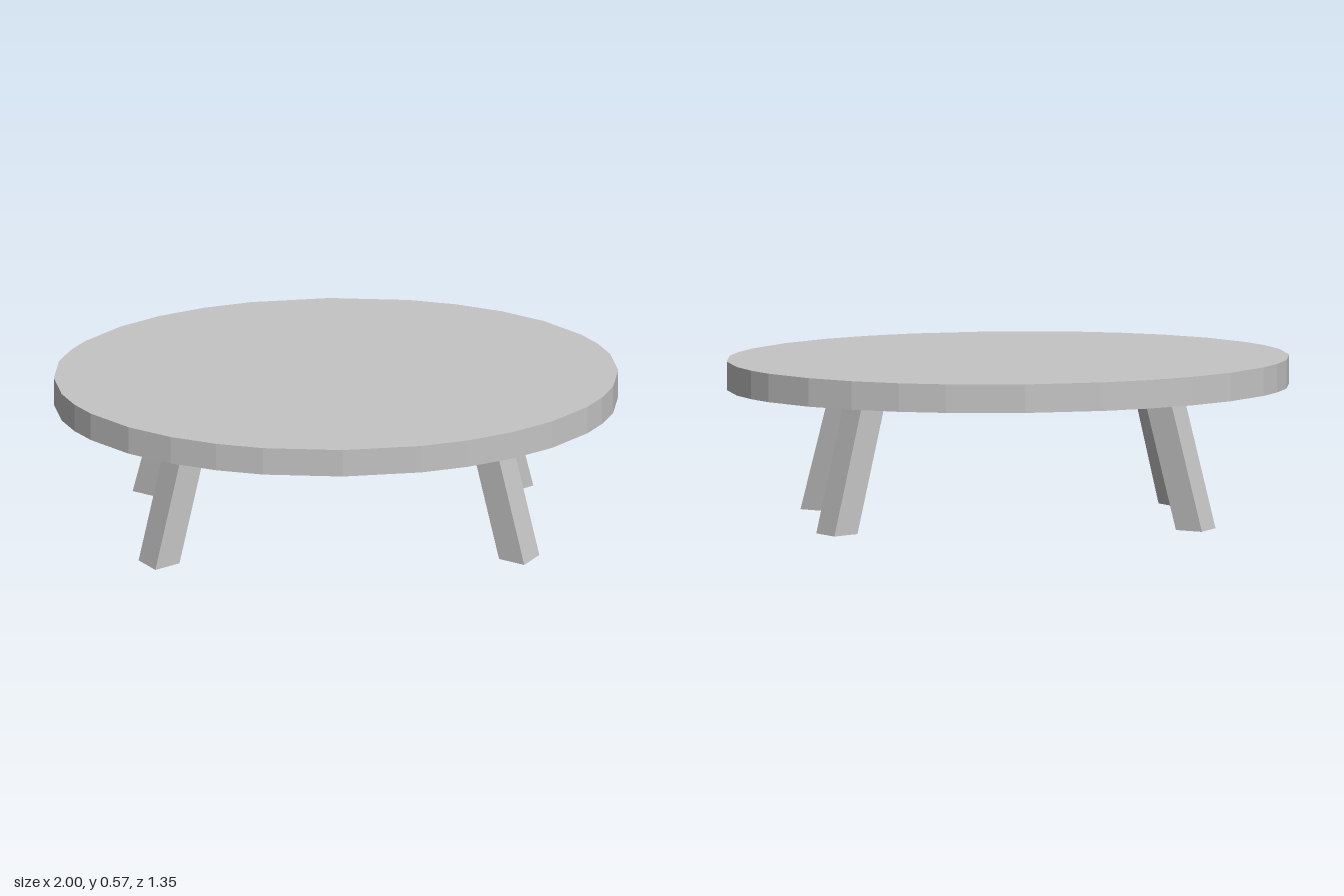
import * as THREE from 'three';

const TOP_Y = 0.575, UNDER_Y = 0.473, HALF_DEPTH = 0.675;

// Oval outline, faceted with unevenly spaced corners
function ovalShape() {
  const quarter = [1, 0.977, 0.935, 0.88, 0.75, 0.605, 0.445, 0.28];
  const z = x => HALF_DEPTH * Math.sqrt(1 - x * x);
  const half = [
    ...quarter.map(x => new THREE.Vector2(x, z(x))),
    new THREE.Vector2(0, HALF_DEPTH),
    ...quarter.slice(1).reverse().map(x => new THREE.Vector2(-x, z(x))),
  ];
  return new THREE.Shape([...half, ...half.map(p => p.clone().negate())]);
}

// Square leg turned about its axis, then sheared so both ends stay level
function legGeometry(sx, sz) {
  const g = new THREE.BoxGeometry(0.104, UNDER_Y, 0.104);
  g.rotateY(-0.574 * sx * sz);
  g.translate(0, UNDER_Y / 2, 0);
  const p = g.attributes.position;
  for (let i = 0; i < p.count; i++) {
    const t = p.getY(i) / UNDER_Y;
    p.setX(i, p.getX(i) + sx * (0.638 - 0.108 * t));
    p.setZ(i, p.getZ(i) + sz * (0.323 - 0.07 * t));
  }
  g.computeVertexNormals();
  return g;
}

export function createModel() {
  const table = new THREE.Group();
  table.name = 'ovalTable';
  const grey = new THREE.MeshStandardMaterial({ color: 0xc4c4c4 });
  grey.name = 'light grey';

  // Tabletop
  const slab = new THREE.ExtrudeGeometry(ovalShape(), { depth: TOP_Y - UNDER_Y, bevelEnabled: false });
  slab.rotateX(-Math.PI / 2);
  slab.translate(0, UNDER_Y, 0);
  const top = new THREE.Mesh(slab, grey);
  top.name = 'tabletop';
  table.add(top);

  // Four splayed legs, mirrored across both axes
  for (const sx of [1, -1]) {
    for (const sz of [1, -1]) {
      const leg = new THREE.Mesh(legGeometry(sx, sz), grey);
      leg.name = (sz > 0 ? 'front' : 'back') + (sx > 0 ? 'Left' : 'Right') + 'Leg';
      table.add(leg);
    }
  }
  return table;
}
